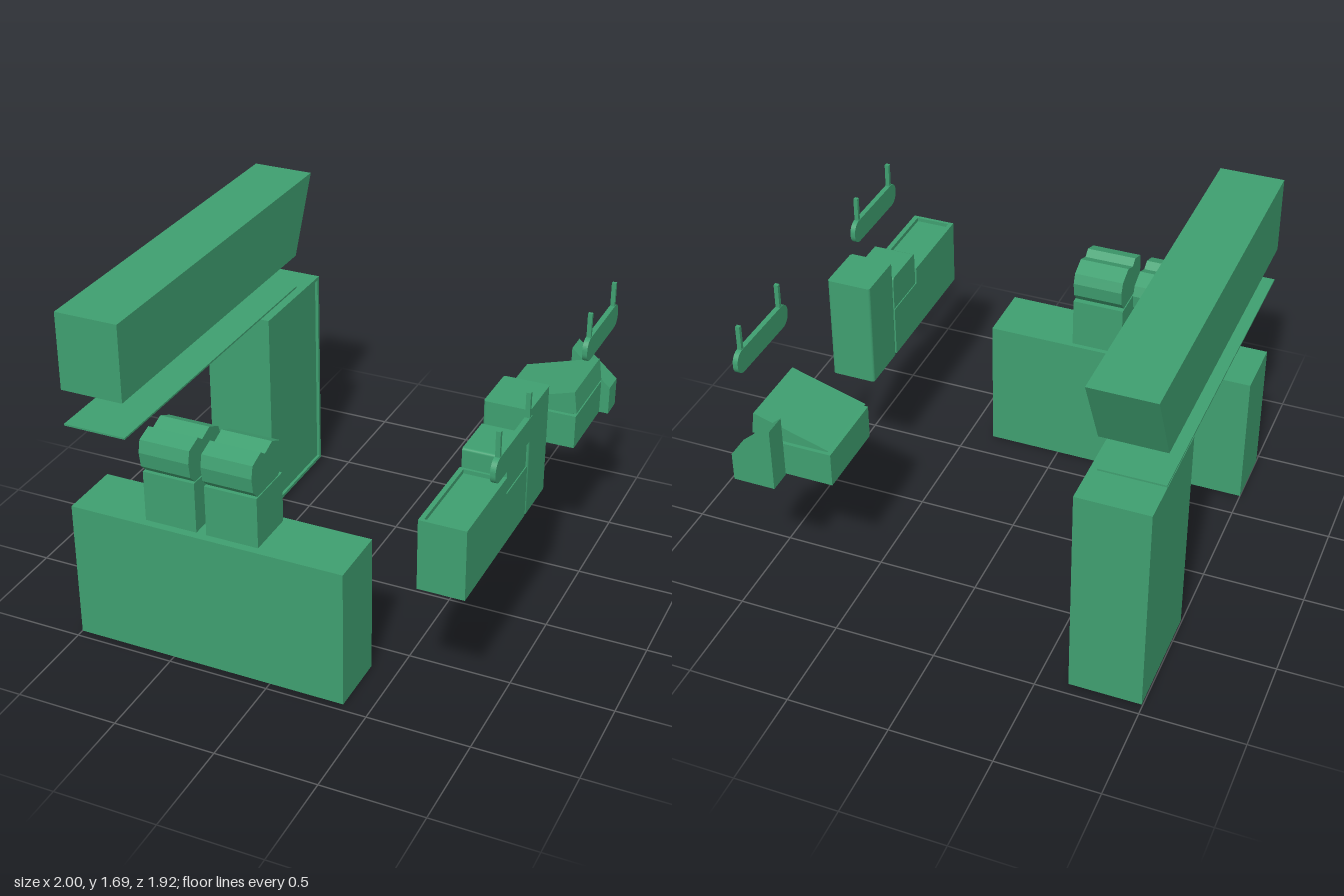
import * as THREE from 'three';

const material = new THREE.MeshStandardMaterial({ color: 0x3f9f70, flatShading: true });

export function createModel() {
  const root = new THREE.Group();

  const add = (name, geometry, parent = root) => {
    const mesh = new THREE.Mesh(geometry, material);
    mesh.name = name;
    parent.add(mesh);
    return mesh;
  };
  const group = (name) => {
    const g = new THREE.Group();
    g.name = name;
    root.add(g);
    return g;
  };

  // Box given by its limits on each axis
  const box = (name, x0, x1, y0, y1, z0, z1, parent) => {
    const g = new THREE.BoxGeometry(x1 - x0, y1 - y0, z1 - z0);
    g.translate((x0 + x1) / 2, (y0 + y1) / 2, (z0 + z1) / 2);
    return add(name, g, parent);
  };
  const polygon = (points) => new THREE.Shape(points.map(([a, b]) => new THREE.Vector2(a, b)));
  const extrude = (shape, depth) =>
    new THREE.ExtrudeGeometry(shape, { depth, bevelEnabled: false, curveSegments: 6 });

  // Outline drawn in (z, y), extruded between x0 and x1
  const sideExtrude = (name, shape, x0, x1, parent) =>
    add(name, extrude(shape, x1 - x0).rotateY(-Math.PI / 2).translate(x1, 0, 0), parent);
  // Outline drawn in (x, -z), extruded between y0 and y1
  const planExtrude = (name, shape, y0, y1, parent) =>
    add(name, extrude(shape, y1 - y0).rotateX(-Math.PI / 2).translate(0, y0, 0), parent);
  // Outline drawn in (x, y), extruded between z0 and z1
  const frontExtrude = (name, shape, z0, z1, parent) =>
    add(name, extrude(shape, z1 - z0).translate(0, 0, z0), parent);

  const rect = (a0, a1, b0, b1, Type = THREE.Shape) =>
    new Type([[a0, b0], [a1, b0], [a1, b1], [a0, b1]].map(([a, b]) => new THREE.Vector2(a, b)));
  const roundRect = (a0, a1, b0, b1, r) => {
    const s = new THREE.Shape();
    s.absarc(a1 - r, b0 + r, r, -Math.PI / 2, 0);
    s.absarc(a1 - r, b1 - r, r, 0, Math.PI / 2);
    s.absarc(a0 + r, b1 - r, r, Math.PI / 2, Math.PI);
    s.absarc(a0 + r, b0 + r, r, Math.PI, Math.PI * 1.5);
    return s;
  };

  // Front counter
  box('counter', -1, 0.37, 0, 0.7, 0.645, 0.96);

  // Two counter machines with double-humped drums
  const drum = [
    [0.9, 0.955], [0.94, 0.995], [0.952, 1.07], [0.938, 1.13], [0.857, 1.157], [0.82, 1.13],
    [0.75, 1.157], [0.67, 1.12], [0.652, 1.07], [0.66, 1.0], [0.7, 0.955],
  ];
  for (const x of [-0.5, -0.19]) {
    const machine = group('counterMachine');
    box('machineBase', x - 0.13, x + 0.13, 0.7, 0.955, 0.67, 0.92, machine);
    sideExtrude('machineDrum', polygon(drum), x - 0.125, x + 0.125, machine);
  }

  // Tall cabinet with a recessed door
  const cabinet = group('cabinet');
  box('cabinetBody', -1, -0.665, 0.02, 1.117, -0.96, -0.375, cabinet);
  const rim = rect(-0.96, -0.375, 0.02, 1.117);
  rim.holes.push(rect(-0.943, -0.39, 0.037, 1.1, THREE.Path));
  sideExtrude('doorFrame', rim, -0.665, -0.65, cabinet);

  // Long shelf and the overhead box with a slanted back end
  box('shelf', -1, -0.687, 1.125, 1.134, -0.766, 0.96);
  const hood = polygon([[0.96, 1.307], [0.96, 1.69], [-0.955, 1.69], [-0.766, 1.307]]);
  sideExtrude('overheadBox', hood, -1, -0.687);

  // Hanging lamps
  for (const z of [0.587, -0.613]) {
    const lamp = group('hangingLamp');
    sideExtrude('lampBody', roundRect(z - 0.239, z + 0.239, 1.228, 1.345, 0.052), 0.975, 1, lamp);
    for (const s of [-1, 1]) {
      const c = z + s * 0.182;
      box('lampPost', 0.977, 0.998, 1.34, 1.465, c - 0.009, c + 0.009, lamp);
    }
  }

  // Side station: open tray, covered unit and tall unit
  const station = group('sideStation');
  box('trayBody', 0.715, 0.935, 0.73, 1.055, 0.487, 0.96, station);
  const trayRim = rect(0.715, 0.935, -0.96, -0.487);
  trayRim.holes.push(rect(0.737, 0.91, -0.943, -0.5, THREE.Path));
  planExtrude('trayRim', trayRim, 1.055, 1.075, station);
  box('lowUnit', 0.715, 0.935, 0.73, 0.99, 0.222, 0.487, station);
  sideExtrude('lowUnitCover', roundRect(0.23, 0.479, 0.985, 1.166, 0.012), 0.72, 0.93, station);
  planExtrude('tallUnit', roundRect(0.715, 0.935, -0.216, 0.045, 0.014), 0.73, 1.268, station);

  // Press: base, inset neck, sloping lid and a slanted block behind
  const press = group('press');
  box('pressBase', 0.55, 0.945, 0.73, 0.902, -0.843, -0.445, press);
  box('pressNeck', 0.575, 0.925, 0.9, 0.92, -0.825, -0.465, press);
  frontExtrude('pressLid', polygon([[0.56, 0.917], [0.947, 0.917], [0.932, 1.03]]), -0.835, -0.45, press);
  const block = polygon([[0.785, 0.727], [0.99, 0.727], [0.99, 0.87], [0.785, 1.05]]);
  frontExtrude('rearBlock', block, -0.96, -0.847, press);

  return root;
}
